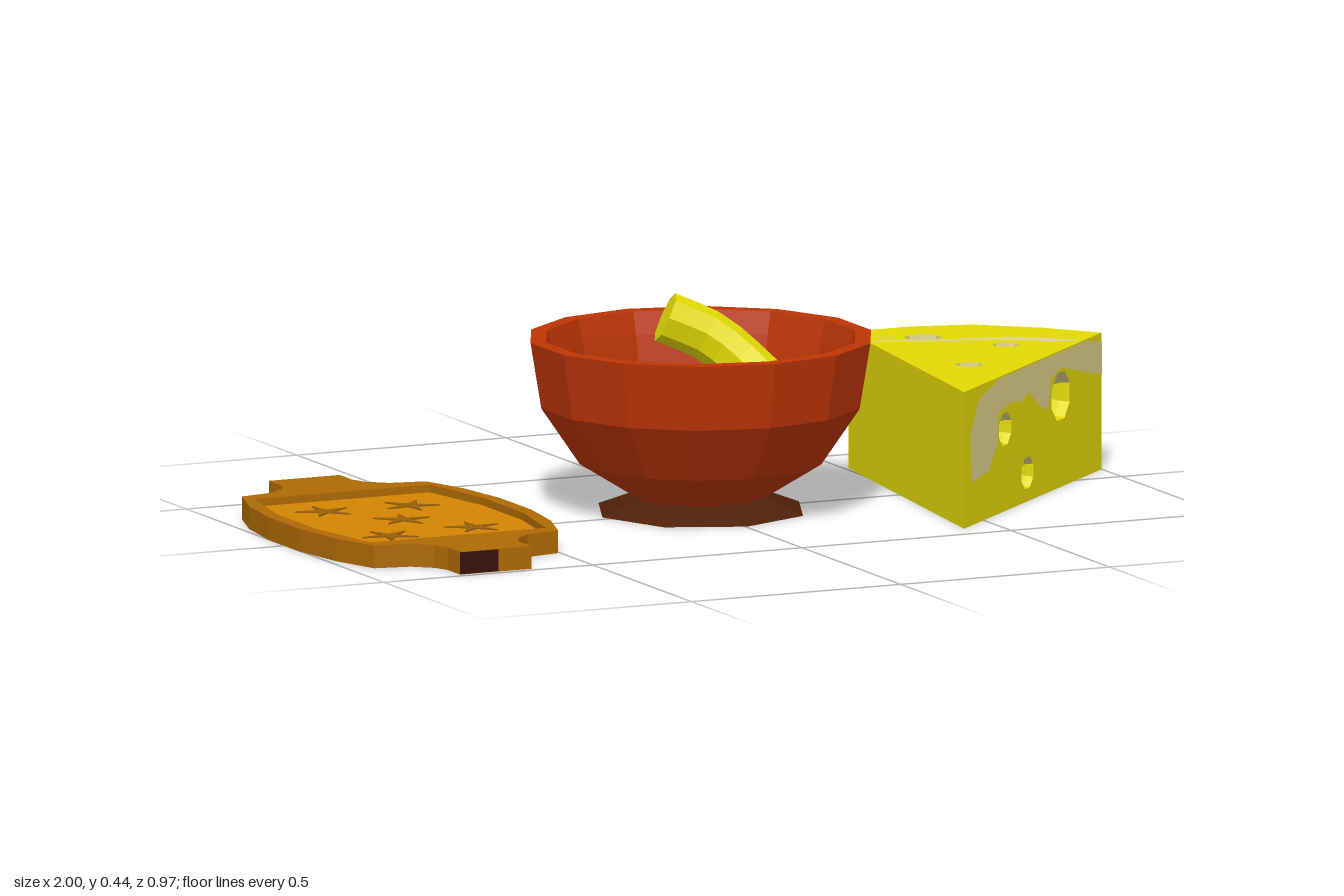
import * as THREE from 'three';

const mat = (name, color, side = THREE.FrontSide) => {
  const m = new THREE.MeshStandardMaterial({ color, flatShading: true, side });
  m.name = name;
  return m;
};

export function createModel() {
  const root = new THREE.Group();
  const D = THREE.DoubleSide;
  const clay = mat('red clay', 0xbd3506, D);
  const footBrown = mat('dark brown', 0x4e2008);
  const wood = mat('dark wood', 0xae6a04);
  const woodLight = mat('light wood', 0xd38502);
  const carving = mat('carving brown', 0x995f06);
  const maroon = mat('dark maroon', 0x3a120c);
  const yellow = mat('cheese yellow', 0xe4d904, D);
  const pale = mat('pale rind', 0xdfd28a, D);
  const green = mat('leaf green', 0x3c8c22);
  const stemGreen = mat('stem green', 0xa4c282);

  const add = (parent, name, geo, material, x = 0, y = 0, z = 0) => {
    const m = new THREE.Mesh(geo, material);
    m.name = name;
    m.position.set(x, y, z);
    parent.add(m);
    return m;
  };
  const group = (name, parent = root) => {
    const g = new THREE.Group();
    g.name = name;
    parent.add(g);
    return g;
  };
  const v2 = (pts) => pts.map(([x, y]) => new THREE.Vector2(x, y));
  const ring = (x, y, r, n = 8) => Array.from({ length: n }, (_, i) => {
    const a = (i + 0.5) * 2 * Math.PI / n;
    return [x + r * Math.cos(a), y + r * Math.sin(a)];
  });
  const shapeOf = (pts, holes = []) => {
    const s = new THREE.Shape(v2(pts));
    holes.forEach((h) => s.holes.push(new THREE.Path(v2(h))));
    return s;
  };

  // Bowl on a flared foot
  const bowl = group('bowl');
  bowl.position.set(0.004, 0, -0.021);
  add(bowl, 'bowlShell', new THREE.LatheGeometry(v2([
    [0, 0.03], [0.14, 0.03], [0.268, 0.11], [0.353, 0.235], [0.377, 0.38],
    [0.342, 0.38], [0.328, 0.33], [0.308, 0.235], [0.23, 0.135], [0.1, 0.085], [0, 0.085],
  ]), 14), clay);
  add(bowl, 'bowlFoot', new THREE.CylinderGeometry(0.13, 0.235, 0.04, 8), footBrown, 0, 0.02, 0);
  add(bowl, 'roundFruit', new THREE.SphereGeometry(0.09, 12, 8), clay, 0.008, 0.19, 0);

  // Curved ridged vegetable leaning on the rim
  const veg = group('longVegetable');
  const path = new THREE.CatmullRomCurve3([
    [0.012, 0.39, -0.218], [0.105, 0.345, -0.185], [0.185, 0.26, -0.11], [0.222, 0.19, 0.005],
  ].map((p) => new THREE.Vector3(...p)));
  add(veg, 'vegetableBody', new THREE.TubeGeometry(path, 8, 0.056, 8), yellow);
  const cap = add(veg, 'cutEnd', new THREE.CircleGeometry(0.056, 8), yellow);
  cap.position.copy(path.getPoint(0));
  cap.lookAt(cap.position.clone().sub(path.getTangent(0)));
  add(veg, 'roundEnd', new THREE.SphereGeometry(0.054, 8, 6), yellow).position.copy(path.getPoint(1));

  // Cluster of green florets with stalks
  const greens = group('florets');
  [[-0.215, 0.25, 0.025], [-0.125, 0.25, 0.02], [-0.17, 0.265, 0.07], [-0.215, 0.25, 0.115],
    [-0.11, 0.245, 0.08], [-0.145, 0.245, 0.135]]
    .forEach(([x, y, z], i) => {
      const f = add(greens, 'floret', new THREE.IcosahedronGeometry(0.045, 0), green, x, y, z);
      f.rotation.set(i * 0.9, i * 1.7, 0);
      add(greens, 'bud', new THREE.OctahedronGeometry(0.016), stemGreen, x + 0.018, y + 0.034, z + 0.012);
    });
  const stalk = add(greens, 'stalk', new THREE.CylinderGeometry(0.035, 0.025, 0.14, 6), green, -0.16, 0.19, 0.08);
  stalk.rotation.z = 0.2;
  const sprig = new THREE.LineCurve3(new THREE.Vector3(-0.18, 0.25, 0.1), new THREE.Vector3(-0.245, 0.315, 0.135));
  add(greens, 'sprig', new THREE.TubeGeometry(sprig, 1, 0.017, 6), green);
  add(greens, 'sprigTip', new THREE.IcosahedronGeometry(0.019, 0), green).position.copy(sprig.v2);

  // Serving board with two tab handles
  const board = group('board');
  board.position.x = -0.725;
  const quarter = [[0.277, 0.08], [0.257, 0.22], [0.22, 0.335], [0.14, 0.35], [0.1, 0.385], [0.085, 0.42], [0.085, 0.485]];
  const mirrored = (q) => {
    const left = q.map(([x, y]) => [-x, y]).reverse();
    const half = [...q, ...left];
    return [...half, ...half.map(([x, y]) => [-x, -y])];
  };
  const outline = mirrored(quarter);
  const inner = mirrored([[0.245, 0.1], [0.21, 0.295]]);
  const slab = (name, shape, depth, material, x, y, z) => {
    const m = add(board, name, new THREE.ExtrudeGeometry(shape, { depth, bevelEnabled: false }), material, x, y, z);
    m.rotation.x = -Math.PI / 2;
    return m;
  };
  slab('boardRim', shapeOf(outline, [inner]), 0.05, wood, 0, 0, 0);
  slab('boardPanel', shapeOf(inner), 0.033, woodLight, 0, 0, 0);
  add(board, 'frontHandleMark', new THREE.BoxGeometry(0.09, 0.048, 0.004), maroon, -0.04, 0.025, 0.485);
  add(board, 'backHandleMark', new THREE.BoxGeometry(0.03, 0.048, 0.004), maroon, 0.07, 0.025, -0.485);
  const star = Array.from({ length: 10 }, (_, i) => {
    const a = i * Math.PI / 5, r = i % 2 ? 0.018 : 0.065;
    return [r * Math.cos(a), r * Math.sin(a)];
  });
  [[-0.1, -0.17, 0.3], [0.1, -0.16, 0.9], [0.01, -0.01, 0], [-0.1, 0.16, 0.6], [0.11, 0.14, 0.2]]
    .forEach(([x, z, turn]) => {
      slab('carvedStar', shapeOf(star), 0.003, carving, x, 0.033, z).rotation.z = turn;
    });

  // Wedge of cheese: top, bottom and walls, with hollow round holes
  const cheese = group('cheese');
  const H = 0.3;
  const plan = [[0.417, 0.438], [1, -0.1], [0.91, -0.21], [0.79, -0.31], [0.66, -0.345], [0.51, -0.345]];
  const flat = plan.map(([x, z]) => [x, -z]);
  const face = (parent, name, pts, holes, lowerMat) => {
    add(parent, name, new THREE.ShapeGeometry(shapeOf(pts, holes.map((h) => ring(...h)))), yellow);
    holes.forEach(([x, y, r]) => {
      // half sphere sunk behind the face, its upper facets pale
      const hollow = (from, count) => new THREE.SphereGeometry(
        r, count, 4, (from + 0.5) * Math.PI / 4, count * Math.PI / 4, 0, Math.PI / 2).rotateX(-Math.PI / 2);
      add(parent, 'holeUpper', hollow(0, 3), pale, x, y, 0);
      add(parent, 'holeLower', hollow(3, 5), lowerMat, x, y, 0);
    });
  };
  const patch = (parent, name, pts) => add(parent, name, new THREE.ShapeGeometry(shapeOf(pts)), pale, 0, 0, 0.002);

  const top = group('cheeseTop', cheese);
  top.position.y = H;
  top.rotation.x = -Math.PI / 2;
  face(top, 'topFace', flat, [[0.625, 0.21, 0.042], [0.75, 0.055, 0.03], [0.573, -0.135, 0.03]], pale);
  patch(top, 'topStreak', [
    [0.5, 0.195], [0.63, 0.145], [0.75, 0.11], [0.88, 0.02], [0.915, 0.03], [0.8, 0.125], [0.64, 0.167], [0.5, 0.21],
  ]);
  const bottom = add(cheese, 'cheeseBottom', new THREE.ShapeGeometry(shapeOf(plan)), yellow);
  bottom.rotation.x = Math.PI / 2;
  plan.forEach(([x, z], i) => {
    const [x2, z2] = plan[(i + 1) % plan.length];
    const len = Math.hypot(x2 - x, z2 - z);
    const wall = group('cheeseWall', cheese);
    wall.position.set(x, 0, z);
    wall.rotation.y = Math.atan2(z - z2, x2 - x);
    const holes = i ? [] : [[0.237, 0.18, 0.038], [0.557, 0.2, 0.056], [0.365, 0.063, 0.037]];
    face(wall, 'wallFace', [[0, 0], [len, 0], [len, H], [0, H]], holes, yellow);
    if (i === 0) {
      patch(wall, 'rindPatch', [
        [0.04, 0.095], [0.14, 0.105], [0.19, 0.16], [0.195, 0.222], [0.275, 0.235], [0.33, 0.225], [0.37, 0.24],
        [0.43, 0.2], [0.48, 0.18], [0.5, 0.25], [0.557, 0.262], [0.63, 0.245], [0.74, 0.22], [0.79, 0.21],
        [0.79, 0.28], [0.7, 0.298], [0.2, 0.298], [0.08, 0.27], [0.03, 0.2],
      ]);
    } else if (i === 1) {
      patch(wall, 'rindPatchEnd', [[0, 0.21], [0.05, 0.205], [0.06, 0.235], [0.03, 0.27], [0, 0.28]]);
    }
  });

  return root;
}
